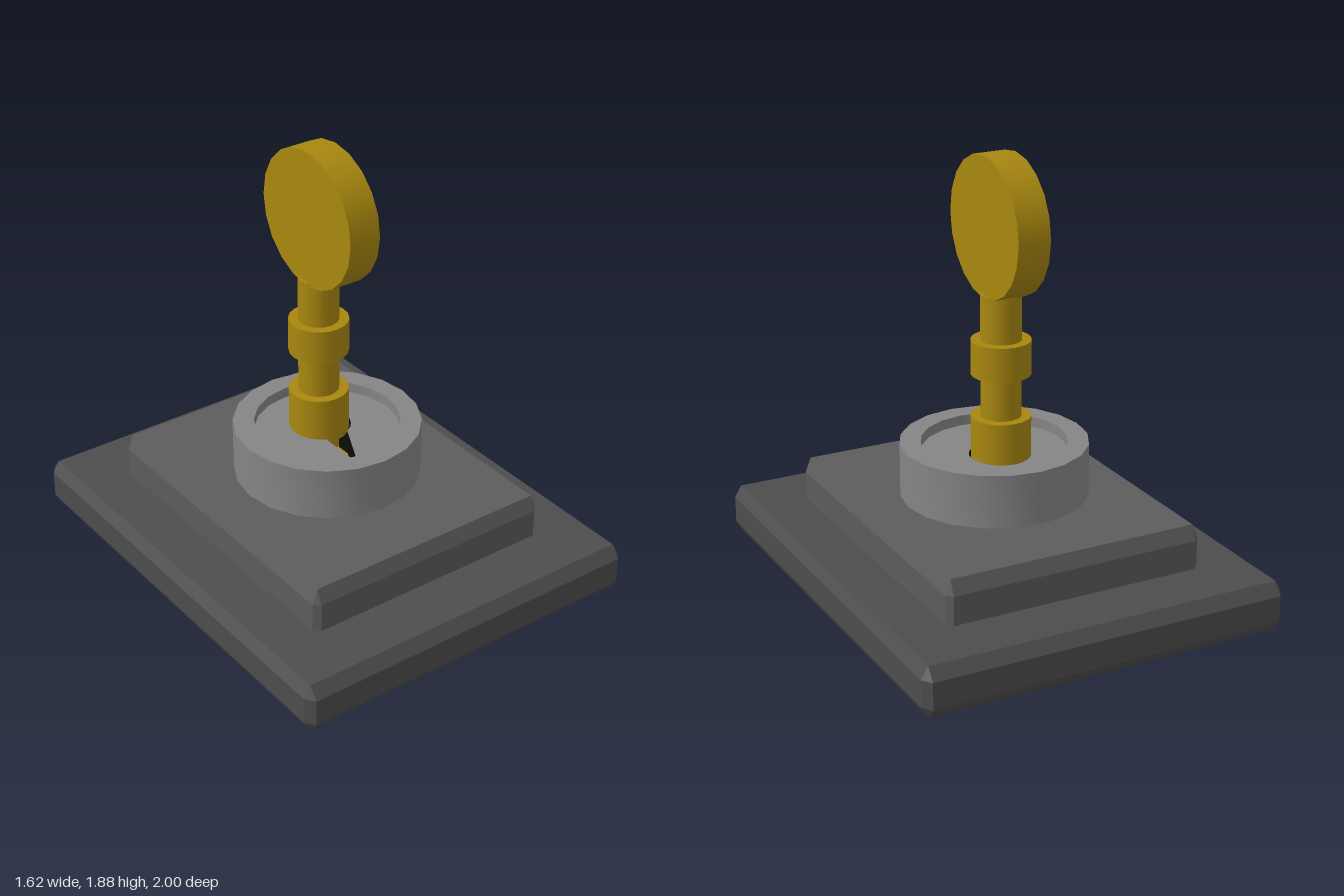
import * as THREE from 'three';
import { toCreasedNormals } from 'three/addons/utils/BufferGeometryUtils.js';
import { ConvexGeometry } from 'three/addons/geometries/ConvexGeometry.js';

const paint = (color) => new THREE.MeshStandardMaterial({ color });

// Box with every edge and corner cut; half sizes (a, b, c), cuts (i, j, k)
function chamferedBox(a, b, c, i, j, k) {
  const points = [];
  for (const x of [-1, 1]) for (const y of [-1, 1]) for (const z of [-1, 1]) {
    points.push(
      new THREE.Vector3(x * a, y * (b - j), z * (c - k)),
      new THREE.Vector3(x * (a - i), y * b, z * (c - k)),
      new THREE.Vector3(x * (a - i), y * (b - j), z * c)
    );
  }
  return new ConvexGeometry(points);
}

export function createModel() {
  const model = new THREE.Group();
  model.name = 'keyPedestal';

  const baseGrey = paint(0x4d4d4d);
  const stepGrey = paint(0x5c5c5c);
  const lockGrey = paint(0x858585);
  const black = paint(0x0c0c0c);
  const gold = paint(0xa8870f);

  const add = (parent, name, geometry, material, x = 0, y = 0, z = 0) => {
    const mesh = new THREE.Mesh(geometry, material);
    mesh.name = name;
    mesh.position.set(x, y, z);
    parent.add(mesh);
    return mesh;
  };

  // Stepped plinth
  add(model, 'basePlate', chamferedBox(0.81, 0.11, 1, 0.03, 0.052, 0.04), baseGrey, 0, 0.11);
  add(model, 'upperStep', chamferedBox(0.575, 0.14, 0.715, 0.025, 0.065, 0.025), stepGrey, 0, 0.27);

  // Lock housing: raised rim around a recessed face
  const lock = new THREE.Group();
  lock.name = 'lock';
  model.add(lock);
  const rim = [[0.4, 0.4], [0.4, 0.64], [0.31, 0.64], [0.31, 0.58]].map(([r, y]) => new THREE.Vector2(r, y));
  add(lock, 'lockRim', toCreasedNormals(new THREE.LatheGeometry(rim, 20), 0.6), lockGrey);

  // Lock face with a keyhole: round opening plus a slot toward the front
  const holeRadius = 0.13, slotHalf = 0.055, slotEnd = -0.29;
  const gap = Math.asin(slotHalf / holeRadius);
  const face = new THREE.Shape().absarc(0, 0, 0.312, 0, Math.PI * 2);
  const keyhole = new THREE.Path();
  keyhole.moveTo(slotHalf, slotEnd);
  keyhole.absarc(0, 0.05, holeRadius, -Math.PI / 2 + gap, Math.PI * 1.5 - gap, false);
  keyhole.lineTo(-slotHalf, slotEnd);
  keyhole.closePath();
  face.holes.push(keyhole);
  const faceGeometry = new THREE.ExtrudeGeometry(face, { depth: 0.175, bevelEnabled: false, curveSegments: 10 });
  faceGeometry.rotateX(-Math.PI / 2);
  add(lock, 'lockFace', faceGeometry, [lockGrey, black], 0, 0.42, 0);
  add(lock, 'keyholeBottom', new THREE.CircleGeometry(0.31, 20).rotateX(-Math.PI / 2), black, 0, 0.422, 0);

  // Key standing in the lock
  const key = new THREE.Group();
  key.name = 'key';
  key.position.z = -0.06;
  model.add(key);
  const rod = (name, radius, bottom, top) =>
    add(key, name, new THREE.CylinderGeometry(radius, radius, top - bottom, 20), gold, 0, (top + bottom) / 2);
  rod('keyShaft', 0.086, 0.43, 1.303);
  rod('lowerCollar', 0.127, 0.57, 0.773);
  rod('upperCollar', 0.127, 0.957, 1.105);
  add(key, 'keyBit', new THREE.BoxGeometry(0.1, 0.06, 0.335), gold, 0, 0.46, 0.167);

  // Disc handle, its flat faces to the sides
  const disc = new THREE.CylinderGeometry(0.298, 0.298, 0.144, 20).rotateZ(Math.PI / 2);
  add(key, 'keyHandle', disc, gold, 0, 1.583, 0.015);

  return model;
}
